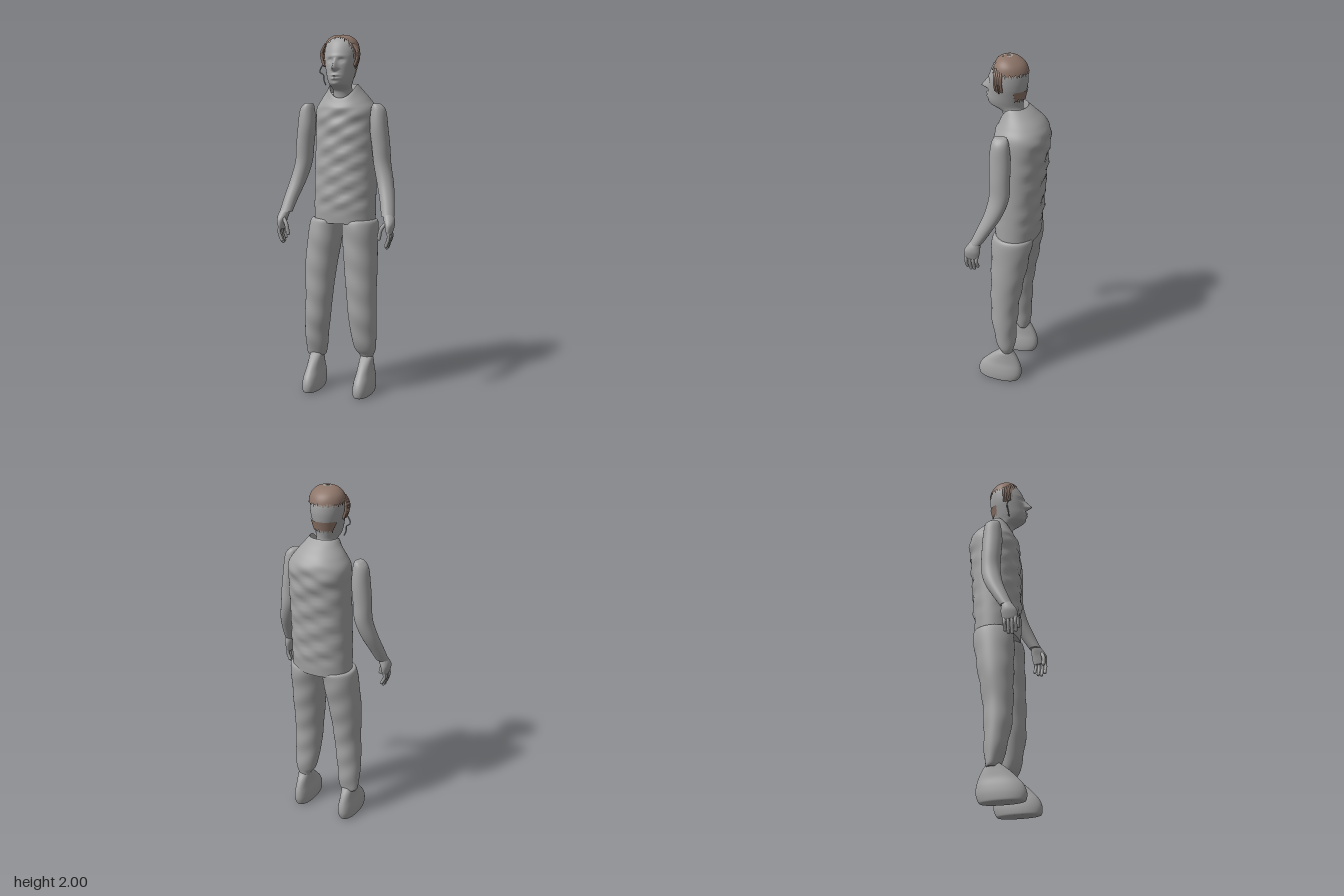
import * as THREE from 'three';

const skin = new THREE.MeshStandardMaterial({ color: 0xa3a3a3 });
skin.name = 'plain grey';
const brown = new THREE.MeshStandardMaterial({ color: 0x8c7468, side: THREE.DoubleSide });
brown.name = 'hair brown';

// Catmull-Rom interpolation between whole section rows
function sample(rows, t) {
  const n = rows.length - 1, i = Math.min(Math.floor(t), n - 1), f = t - i;
  const at = k => rows[Math.max(0, Math.min(n, k))];
  const [a, b, c, d] = [at(i - 1), at(i), at(i + 1), at(i + 2)];
  return b.map((v, k) => v + 0.5 * f * (c[k] - a[k] + f * (2 * a[k] - 5 * v + 4 * c[k] - d[k]
    + f * (3 * (v - c[k]) + d[k] - a[k]))));
}

// Skin over horizontal rings; each section is [y, left x, right x, front z, back z]
function loft(sections, { seg = 40, sub = 5, power = 1, move, keep, caps = true } = {}) {
  const pos = [], idx = [], rows = (sections.length - 1) * sub;
  for (let i = 0; i <= rows; i++) {
    const [y, x0, x1, z1, z0] = sample(sections, i / sub);
    for (let j = 0; j < seg; j++) {
      const a = j / seg * Math.PI * 2, s = Math.sin(a), c = Math.cos(a);
      const p = new THREE.Vector3(
        (x0 + x1) / 2 + (x1 - x0) / 2 * Math.sign(s) * Math.abs(s) ** power, y,
        (z0 + z1) / 2 + (z1 - z0) / 2 * Math.sign(c) * Math.abs(c) ** power);
      if (move) move(p, s, c);
      pos.push(p.x, p.y, p.z);
    }
  }
  for (let i = 0; i < rows; i++) for (let j = 0; j < seg; j++) {
    const a = i * seg + j, b = i * seg + (j + 1) % seg;
    if (keep && !keep(pos[3 * a], pos[3 * a + 1], pos[3 * a + 2], j)) continue;
    idx.push(a, b, b + seg, a, b + seg, a + seg);
  }
  if (caps) for (const end of [0, rows]) {
    const first = pos.length / 3, mid = new THREE.Vector3();
    for (let j = 0; j < seg; j++) {
      const k = 3 * (end * seg + j);
      pos.push(pos[k], pos[k + 1], pos[k + 2]);
      mid.add(new THREE.Vector3(pos[k], pos[k + 1], pos[k + 2]).divideScalar(seg));
    }
    pos.push(mid.x, mid.y, mid.z);
    for (let j = 0; j < seg; j++) {
      const a = first + j, b = first + (j + 1) % seg;
      idx.push(...(end ? [a, b, first + seg] : [b, a, first + seg]));
    }
  }
  const g = new THREE.BufferGeometry();
  g.setAttribute('position', new THREE.Float32BufferAttribute(pos, 3));
  g.setIndex(idx);
  g.computeVertexNormals();
  return g;
}

function add(parent, name, geometry, material = skin) {
  const m = new THREE.Mesh(geometry, material);
  m.name = name;
  parent.add(m);
  return m;
}

const tube = (pts, r) => new THREE.TubeGeometry(
  new THREE.CatmullRomCurve3(pts.map(p => new THREE.Vector3(...p))), 12, r, 8);
const bump = (d, width) => Math.exp(-((d / width) ** 2));

// Finger with a rounded tip
function finger(parent, name, pts, r) {
  add(parent, name, tube(pts, r));
  add(parent, name + 'Tip', new THREE.SphereGeometry(r, 10, 8)).position.set(...pts[pts.length - 1]);
}

const HEAD = [
  [1.66, -.045, .065, .065, -.05], [1.7, -.042, .062, .075, -.045], [1.718, -.043, .063, .11, -.042],
  [1.735, -.048, .068, .143, -.041], [1.765, -.058, .078, .152, -.045], [1.8, -.067, .087, .15, -.053],
  [1.84, -.076, .096, .147, -.062], [1.88, -.081, .101, .142, -.066], [1.92, -.081, .101, .13, -.062],
  [1.955, -.071, .091, .112, -.045], [1.98, -.048, .068, .088, -.013], [1.992, -.02, .04, .062, .018],
  [1.994, .008, .012, .04, .036]];

// Nose, brows, eye sockets, lips and chin
function face(p, s, c) {
  if (c < 0.2) return;
  const x = p.x - .01, y = p.y;
  const slope = THREE.MathUtils.clamp((1.878 - y) / .055, 0, 1) * THREE.MathUtils.clamp((y - 1.802) / .014, 0, 1);
  p.z += .04 * slope * bump(x, .006 + .009 * slope)
    - .011 * bump(Math.abs(x) - .032, .016) * bump(y - 1.862, .012)
    + .005 * bump(Math.abs(x) - .032, .009) * bump(y - 1.86, .006)
    + .004 * bump(x, .05) * bump(y - 1.885, .01)
    + .011 * bump(x, .02) * (bump(y - 1.783, .006) + bump(y - 1.765, .006))
    + .006 * bump(x, .02) * bump(y - 1.735, .012);
}

function buildHead() {
  const head = new THREE.Group();
  head.name = 'head';
  add(head, 'skullAndFace', loft(HEAD, { seg: 96, sub: 9, move: face }));
  // Hair: thin shell with a ragged hairline, side locks and a nape patch
  const shell = HEAD.slice(4).map(([y, a, b, f, k]) => [y + .006 * (y > 1.9), a - .006, b + .006, f + .004, k - .005]);
  add(head, 'hair', loft(shell, {
    seg: 120, sub: 10, caps: false,
    keep: (x, y, z, j) => {
      const rag = .007 * Math.sin(j * 2.3) + .004 * Math.sin(j * 5.1);
      const cap = y > (z > .04 ? 1.835 : 1.915) + rag && z < .098 + rag - .6 * Math.max(0, 1.93 - y) * .4;
      return cap || (z < -.012 && y > 1.772 + rag && y < 1.825);
    }
  }), brown);
  // Side rolls of hair in front of the ears
  for (const s of [-1, 1]) {
    for (let k = 0; k < 4; k++) {
      const z = .045 + k * .011;
      add(head, 'sideLock', tube([[.01 + s * .078, 1.95, z], [.01 + s * .101, 1.91, z],
        [.01 + s * .1, 1.87, z], [.01 + s * .087, 1.83 + .006 * (k % 2), z]], .007), brown);
    }
  }
  // Loose strands
  add(head, 'looseStrand', tube([[-.08, 1.85, .07], [-.098, 1.82, .075], [-.105, 1.8, .07],
    [-.085, 1.785, .065], [-.082, 1.76, .07], [-.07, 1.73, .07]], .0035));
  add(head, 'shortStrand', tube([[.1, 1.86, .06], [.117, 1.88, .06], [.108, 1.84, .06], [.095, 1.82, .06]], .0035), brown);
  // Bare arc and bar on the crown
  const arc = add(head, 'crownArc', new THREE.RingGeometry(.017, .025, 20, 1, .1, Math.PI - .2));
  arc.rotation.x = -Math.PI / 2;
  arc.position.set(.012, 2, .04);
  add(head, 'crownBar', new THREE.BoxGeometry(.04, .003, .004)).position.set(.012, 1.998, .06);
  return head;
}

function buildTorso() {
  const g = loft([
    [.97, -.165, .185, .1, -.14], [1.1, -.165, .187, .106, -.15], [1.3, -.162, .187, .106, -.163],
    [1.48, -.158, .188, .103, -.178], [1.59, -.158, .185, .1, -.185], [1.65, -.128, .152, .094, -.16],
    [1.7, -.09, .115, .085, -.11], [1.73, -.072, .094, .075, -.072], [1.732, -.066, .088, .068, -.066],
    [1.69, -.06, .08, .06, -.06]], {
    seg: 72, sub: 8, power: .92,
    move: (p, s, c) => {
      // Dropped front collar and soft cloth creases
      p.y -= .075 * Math.max(0, c) ** 1.5 * THREE.MathUtils.smoothstep(p.y, 1.58, 1.73);
      const fade = THREE.MathUtils.smoothstep(p.y, 1.0, 1.1) * (1 - THREE.MathUtils.smoothstep(p.y, 1.55, 1.65));
      p.z += c * fade * .0045 * (Math.sin(p.y * 47 + p.x * 23) + Math.sin(p.y * 71 - p.x * 37 + 1));
    }
  });
  return g;
}

function buildArm(s) {
  const arm = new THREE.Group();
  arm.name = s > 0 ? 'leftArm' : 'rightArm';
  // Rows of [y, centre x, centre z, half width, half depth]
  const ring = ([y, x, z, rx, rz]) => {
    const c = s * x + .006;
    return [y, c - rx, c + rx, z + rz, z - rz];
  };
  add(arm, 'sleeve', loft([
    [1.632, .195, .012, .01, .02], [1.625, .2, .012, .025, .036], [1.59, .208, .012, .042, .048],
    [1.5, .212, .012, .05, .057], [1.4, .223, .01, .05, .056], [1.3, .232, .01, .048, .055],
    [1.2, .257, .035, .046, .05], [1.1, .283, .083, .04, .041], [1.03, .297, .12, .036, .034]
  ].reverse().map(ring)));
  add(arm, 'palm', loft([
    [.935, .313, .142, .012, .036], [.95, .314, .142, .017, .042], [.985, .314, .138, .026, .045],
    [1.015, .308, .13, .03, .036], [1.04, .3, .122, .027, .027], [1.06, .295, .11, .022, .022]].map(ring)));
  const X = x => s * x + .006;
  for (let i = 0; i < 4; i++) {
    const z = .112 + i * .02, end = [.885, .868, .864, .876][i];
    finger(arm, 'finger', [[X(.314), .955, z], [X(.318), .92, z + .002], [X(.303), end, z]], .0095);
  }
  finger(arm, 'thumb', [[X(.3), 1.0, .155], [X(.275), .965, .172], [X(.264), .915, .174]], .011);
  return arm;
}

const LEGS = {
  left: [[.19, .115, .178, .035, -.032], [.215, .105, .19, .042, -.035], [.25, .08, .203, .06, -.04],
    [.32, .065, .208, .08, -.045], [.42, .05, .21, .098, -.05], [.55, .038, .207, .105, -.06],
    [.7, .022, .208, .106, -.085], [.85, .008, .205, .105, -.112], [.97, 0, .203, .1, -.13], [.99, .01, .18, .08, -.11]],
  right: [[.185, -.202, -.105, .035, -.032], [.2, -.21, -.095, .045, -.036], [.25, -.214, -.085, .06, -.04],
    [.32, -.216, -.078, .08, -.045], [.42, -.214, -.065, .098, -.05], [.55, -.208, -.052, .105, -.06],
    [.7, -.214, -.035, .106, -.085], [.85, -.204, -.012, .105, -.112], [.97, -.188, .002, .1, -.13], [.99, -.17, -.01, .08, -.11]]
};

export function createModel() {
  const model = new THREE.Group();
  model.name = 'standingFigure';
  model.add(buildHead());
  add(model, 'torso', buildTorso());
  for (const s of [1, -1]) {
    const side = s > 0 ? 'left' : 'right', fx = s * .151;
    model.add(buildArm(s));
    add(model, side + 'Leg', loft(LEGS[side], {
      sub: 6, move: (p, sn, c) => { p.z += .003 * c * Math.sin(p.y * 40 + p.x * 20); }
    }));
    // Shoe: flat sole, long toe, narrow ankle
    const shoe = [[0, .044, .165, -.06], [.008, .051, .178, -.072], [.045, .053, .182, -.086], [.085, .049, .168, -.086],
      [.125, .041, .135, -.076], [.165, .038, .095, -.058], [.195, .036, .058, -.038], [.208, .03, .04, -.03]];
    add(model, side + 'Shoe', loft(shoe.map(([y, w, f, b]) => [y, fx - w, fx + w, f, b]), { power: .9 }));
  }
  return model;
}
